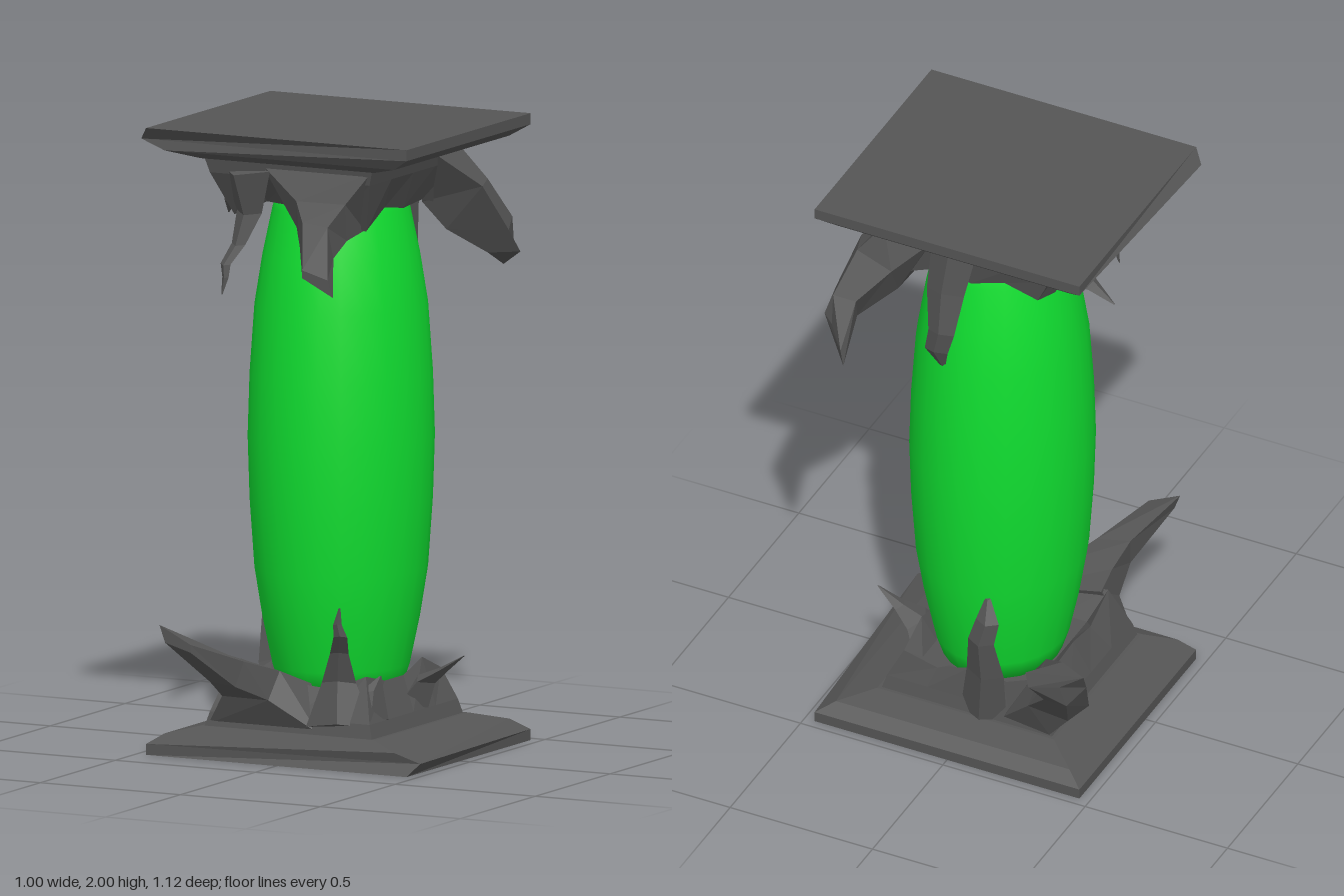
import * as THREE from 'three';

const stone = new THREE.MeshStandardMaterial({ color: 0x555555, flatShading: true, side: THREE.DoubleSide });
const glow = new THREE.MeshStandardMaterial({ color: 0x10dd30 });

// Skin a list of equal-length point rings, closing both ends with a fan.
function loft(name, rings) {
  const n = rings[0].length, pos = [], idx = [];
  rings.forEach(r => r.forEach(p => pos.push(...p)));
  for (let i = 0; i < rings.length - 1; i++) {
    for (let j = 0; j < n; j++) {
      const a = i * n + j, b = i * n + (j + 1) % n;
      idx.push(a, b, b + n, a, b + n, a + n);
    }
  }
  const last = (rings.length - 1) * n;
  for (let j = 1; j < n - 1; j++) idx.push(0, j + 1, j, last, last + j, last + j + 1);
  const g = new THREE.BufferGeometry();
  g.setAttribute('position', new THREE.Float32BufferAttribute(pos, 3));
  g.setIndex(idx);
  g.computeVertexNormals();
  const mesh = new THREE.Mesh(g, stone);
  mesh.name = name;
  return mesh;
}

// Rectangle ring, running front right, back right, back left, front left.
const rect = (y, x, zf, zb) => [[x, y, zf], [x, y, zb], [-x, y, zb], [-x, y, zf]];

// The same rectangle with four steps per side and a height for each point.
function rim(heights, x, zf, zb) {
  const c = rect(0, x, zf, zb);
  return heights.map((y, i) => {
    const a = c[i >> 2], b = c[((i >> 2) + 1) % 4], t = (i % 4) / 4;
    return [a[0] + (b[0] - a[0]) * t, y, a[2] + (b[2] - a[2]) * t];
  });
}

// Thin tapering shard: [x, y, z, half width] stations, widened along "side".
function shard(name, stations, side, thick) {
  const s = new THREE.Vector3(...side).normalize();
  const t = new THREE.Vector3(-s.z, 0.35, s.x).normalize();
  return loft(name, stations.map(([x, y, z, w]) => {
    const c = new THREE.Vector3(x, y, z);
    return [[s, w], [t, w * thick], [s, -w], [t, -w * thick]]
      .map(([d, k]) => c.clone().addScaledVector(d, k).toArray());
  }));
}

function createEnd(name) {
  const end = new THREE.Group();
  end.name = name;

  // Sloping slab with one corner pulled outward
  const lower = rect(0, 0.465, 0.36, -0.47);
  const edge = rect(0.035, 0.465, 0.36, -0.47);
  edge[0] = [0.498, 0.04, 0.33];
  end.add(loft('slab', [lower, edge, rect(0.07, 0.41, 0.34, -0.43), rect(0.095, 0.31, 0.285, -0.34)]));

  // Broken collar with a ragged rim
  const flat = y => new Array(16).fill(y);
  const ragged = [0.28, 0.25, 0.25, 0.29, 0.24, 0.21, 0.25, 0.23, 0.28, 0.25, 0.26, 0.24, 0.3, 0.28, 0.24, 0.23];
  end.add(loft('collar', [
    rim(flat(0.09), 0.3, 0.28, -0.33),
    rim(flat(0.14), 0.285, 0.27, -0.32),
    rim(ragged, 0.235, 0.2, -0.3),
    rim(flat(0.2), 0.19, 0.14, -0.26),
  ]));

  // Broad blade leaning out of the front
  end.add(loft('frontBlade', [
    [[-0.29, 0.1, 0.27], [0.1, 0.1, 0.27], [0.03, 0.24, 0.18], [-0.22, 0.3, 0.18]],
    [[-0.22, 0.2, 0.31], [-0.05, 0.2, 0.32], [-0.03, 0.29, 0.28], [-0.21, 0.32, 0.28]],
    [[-0.21, 0.26, 0.41], [-0.12, 0.25, 0.41], [-0.1, 0.33, 0.39], [-0.22, 0.36, 0.39]],
    [[-0.29, 0.4, 0.56], [-0.2, 0.375, 0.56], [-0.2, 0.4, 0.56], [-0.31, 0.455, 0.56]],
  ]));

  // Hooked blade at the rear corner
  end.add(loft('rearBlade', [
    [[-0.29, 0.1, -0.16], [-0.29, 0.1, -0.33], [-0.13, 0.12, -0.33], [-0.2, 0.27, -0.24]],
    [[-0.4, 0.21, -0.27], [-0.37, 0.2, -0.36], [-0.24, 0.23, -0.38], [-0.26, 0.36, -0.29]],
    [[-0.44, 0.36, -0.37], [-0.41, 0.33, -0.45], [-0.33, 0.33, -0.45], [-0.36, 0.44, -0.38]],
    [[-0.455, 0.435, -0.42], [-0.4, 0.42, -0.48], [-0.33, 0.45, -0.56], [-0.32, 0.505, -0.56]],
  ]));

  // Upright splinter hugging the back
  end.add(shard('backSplinter', [
    [-0.05, 0.1, -0.31, 0.08], [-0.07, 0.28, -0.34, 0.065], [-0.07, 0.42, -0.37, 0.045],
    [-0.09, 0.5, -0.365, 0.04], [-0.08, 0.57, -0.34, 0.01],
  ], [1, 0, 0], 0.5));

  // Curling tendril at the front
  end.add(shard('tendril', [
    [0.17, 0.12, 0.25, 0.11], [0.16, 0.26, 0.24, 0.055], [0.18, 0.36, 0.275, 0.03],
    [0.205, 0.42, 0.315, 0.022], [0.2, 0.46, 0.325, 0.014], [0.21, 0.515, 0.33, 0.003],
  ], [1, 0, -0.3], 0.5));

  // Spike pointing out of the side, with a small one beside it
  end.add(shard('sideSpike', [
    [0.24, 0.16, -0.11, 0.11], [0.28, 0.23, -0.12, 0.065], [0.34, 0.265, -0.12, 0.03], [0.415, 0.315, -0.12, 0.003],
  ], [0, 0, 1], 0.5));
  end.add(shard('cornerSpike', [
    [0.24, 0.14, 0.2, 0.07], [0.25, 0.23, 0.19, 0.04], [0.27, 0.28, 0.17, 0.004],
  ], [1, 0, -1], 0.6));
  return end;
}

export function createModel() {
  const model = new THREE.Group();
  model.name = 'crystalPillar';

  // Smooth barrel-shaped core
  const half = [[0.2, 0.19], [0.27, 0.212], [0.42, 0.243], [0.58, 0.268], [0.8, 0.283]];
  const profile = [[0, 0.2], ...half.map(([y, r]) => [r, y]), [0.289, 1],
    ...half.slice().reverse().map(([y, r]) => [r, 2 - y]), [0, 1.8]];
  const core = new THREE.Mesh(
    new THREE.LatheGeometry(profile.map(([r, y]) => new THREE.Vector2(r, y)), 24), glow);
  core.name = 'core';
  core.scale.z = 1.09;
  core.position.set(0.005, 0, -0.065);
  model.add(core);

  // The top is the base turned half way round the front-to-back axis
  const base = createEnd('base');
  const top = createEnd('top');
  top.rotation.z = Math.PI;
  top.position.y = 2;
  model.add(base, top);
  return model;
}
